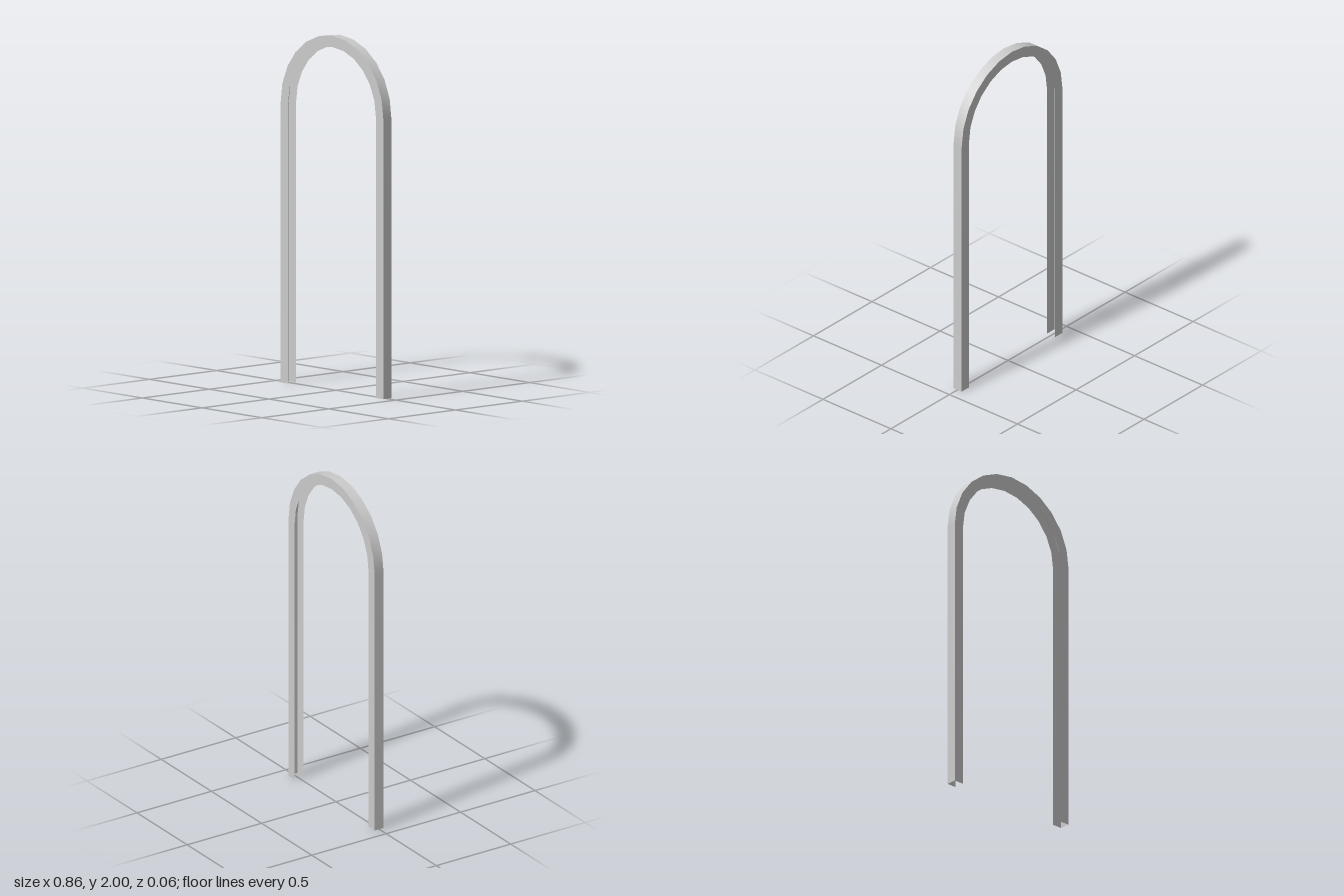
import * as THREE from 'three';

const HALF_DEPTH = 0.03;
const SPRING_Y = 1.576; // height where the straight legs meet the arch
const STEPS = 12;

// Leg, half-round arch and second leg, running from -x to +x
function archPath(rx, ry) {
  const points = [[-rx, 0]];
  for (let i = 0; i <= STEPS; i++) {
    const a = Math.PI * (1 - i / STEPS);
    points.push([rx * Math.cos(a), SPRING_Y + ry * Math.sin(a)]);
  }
  points.push([rx, 0]);
  return points;
}

// Strip of quads between two matching rails of 3D points
function strip(railA, railB) {
  const positions = [], index = [];
  railA.forEach((p, i) => {
    positions.push(...p, ...railB[i]);
    if (i === 0) return;
    const k = 2 * (i - 1);
    index.push(k, k + 1, k + 2, k + 1, k + 3, k + 2);
  });
  const g = new THREE.BufferGeometry();
  g.setAttribute('position', new THREE.Float32BufferAttribute(positions, 3));
  g.setIndex(index);
  g.computeVertexNormals();
  return g;
}

export function createModel() {
  const group = new THREE.Group();
  group.name = 'archedChannelFrame';
  const material = new THREE.MeshStandardMaterial({ color: 0xcccccc, side: THREE.DoubleSide });

  const outer = archPath(0.43, 2 - SPRING_Y);
  const inner = archPath(0.368, 1.937 - SPRING_Y);
  const at = (path, z) => path.map(([x, y]) => [x, y, z]);

  const add = (name, railA, railB) => {
    const mesh = new THREE.Mesh(strip(railA, railB), material);
    mesh.name = name;
    group.add(mesh);
  };

  // Three thin walls; the channel is open on its inner side and at the feet
  add('outerWall', at(outer, -HALF_DEPTH), at(outer, HALF_DEPTH));
  add('frontWall', at(outer, HALF_DEPTH), at(inner, HALF_DEPTH));
  add('backWall', at(inner, -HALF_DEPTH), at(outer, -HALF_DEPTH));
  return group;
}
